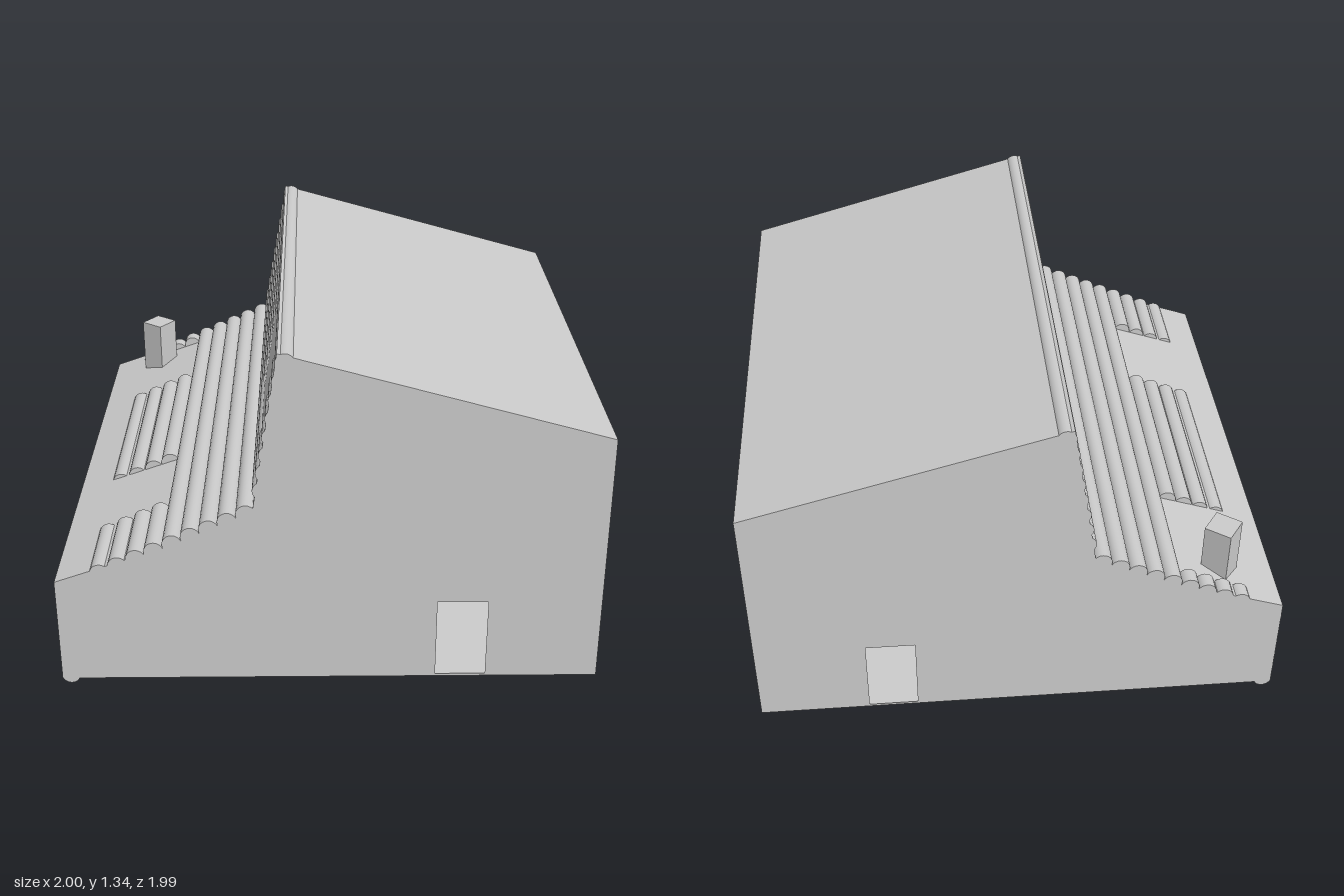
import * as THREE from 'three';

const HALF = 0.995; // half depth along z
const mat = new THREE.MeshStandardMaterial({ color: 0xcccccc, side: THREE.DoubleSide });

// Outline of the end walls, counter-clockwise from the lower left
const OUTLINE = [[-1, 0.02], [1, 0.02], [1, 1.005], [-0.18, 1.335], [-0.275, 0.73], [-0.6, 0.58], [-1, 0.44]];
const PANEL_NAMES = ['floor', 'tallWall', 'mainRoof', 'steepRoof', 'logRoofDeck', 'lowerRoof', 'lowWall'];

export function createModel() {
  const model = new THREE.Group();
  model.name = 'logHouse';

  const add = (name, geometry, parent = model) => {
    const mesh = new THREE.Mesh(geometry, mat);
    mesh.name = name;
    parent.add(mesh);
    return mesh;
  };

  // Sheet panels running the full depth, one per outline edge
  OUTLINE.forEach(([x0, y0], i) => {
    const [x1, y1] = OUTLINE[(i + 1) % OUTLINE.length];
    const geo = new THREE.PlaneGeometry(Math.hypot(x1 - x0, y1 - y0), 2 * HALF);
    geo.rotateX(Math.PI / 2);
    geo.rotateZ(Math.atan2(y1 - y0, x1 - x0));
    geo.translate((x0 + x1) / 2, (y0 + y1) / 2, 0);
    add(PANEL_NAMES[i], geo);
  });

  // Front and back walls with a doorway each
  const wall = new THREE.Shape(OUTLINE.map(([x, y]) => new THREE.Vector2(x, y)));
  const door = [[0.395, 0.03], [0.395, 0.345], [0.582, 0.345], [0.582, 0.03]];
  wall.holes.push(new THREE.Path(door.map(([x, y]) => new THREE.Vector2(x, y))));
  for (const side of [1, -1]) {
    const geo = new THREE.ShapeGeometry(wall);
    if (side < 0) {
      geo.scale(-1, 1, 1);
      geo.rotateY(Math.PI);
    }
    geo.translate(0, 0, side * HALF);
    add(side > 0 ? 'frontWall' : 'backWall', geo);
  }

  // Logs lie along z; spans leave gaps for window openings
  const full = [[-HALF, HALF]];
  const logGroup = (name) => {
    const group = new THREE.Group();
    group.name = name;
    model.add(group);
    return group;
  };
  const log = (group, x, y, r, spans) => {
    for (const [z0, z1] of spans) {
      const geo = new THREE.CylinderGeometry(r, r, z1 - z0, 20);
      geo.rotateX(Math.PI / 2);
      geo.translate(x, y, (z0 + z1) / 2);
      add('log', geo, group);
    }
  };

  // Gently sloping log roof, with two openings in its lower part
  const slopeLogs = logGroup('slopeLogs');
  const lowSpans = [[-HALF, -0.935], [-0.5, 0.295], [0.695, HALF]];
  for (let i = 0; i < 9; i++) {
    log(slopeLogs, -0.3 - 0.0667 * i, 0.716 - 0.03 * i, 0.036, i < 5 ? full : lowSpans);
  }

  // Steep log wall, its logs sinking into the panel towards the top
  const steepLogs = logGroup('steepLogs');
  for (let i = 0; i < 8; i++) {
    const y = 0.81 + 0.07 * i;
    const panelX = -0.275 + 0.157 * (y - 0.73);
    const bulge = 0.013 - 0.0015 * i;
    const spans = y > 0.95 && y < 1.27 ? [[-HALF, 0.34], [0.83, HALF]] : full;
    log(steepLogs, panelX + 0.035 - bulge, y, 0.035, spans);
  }

  // Low side wall logs, nearly flush outside; the lowest is the sill
  const lowLogs = logGroup('lowWallLogs');
  for (let i = 0; i < 6; i++) log(lowLogs, -0.967, 0.034 + 0.07 * i, 0.034, full);

  // Square chimney, turned against the house
  const chimney = add('chimney', new THREE.BoxGeometry(0.106, 0.265, 0.106));
  chimney.position.set(-0.778, 0.593, -0.84);
  chimney.rotation.y = -0.63;

  return model;
}
